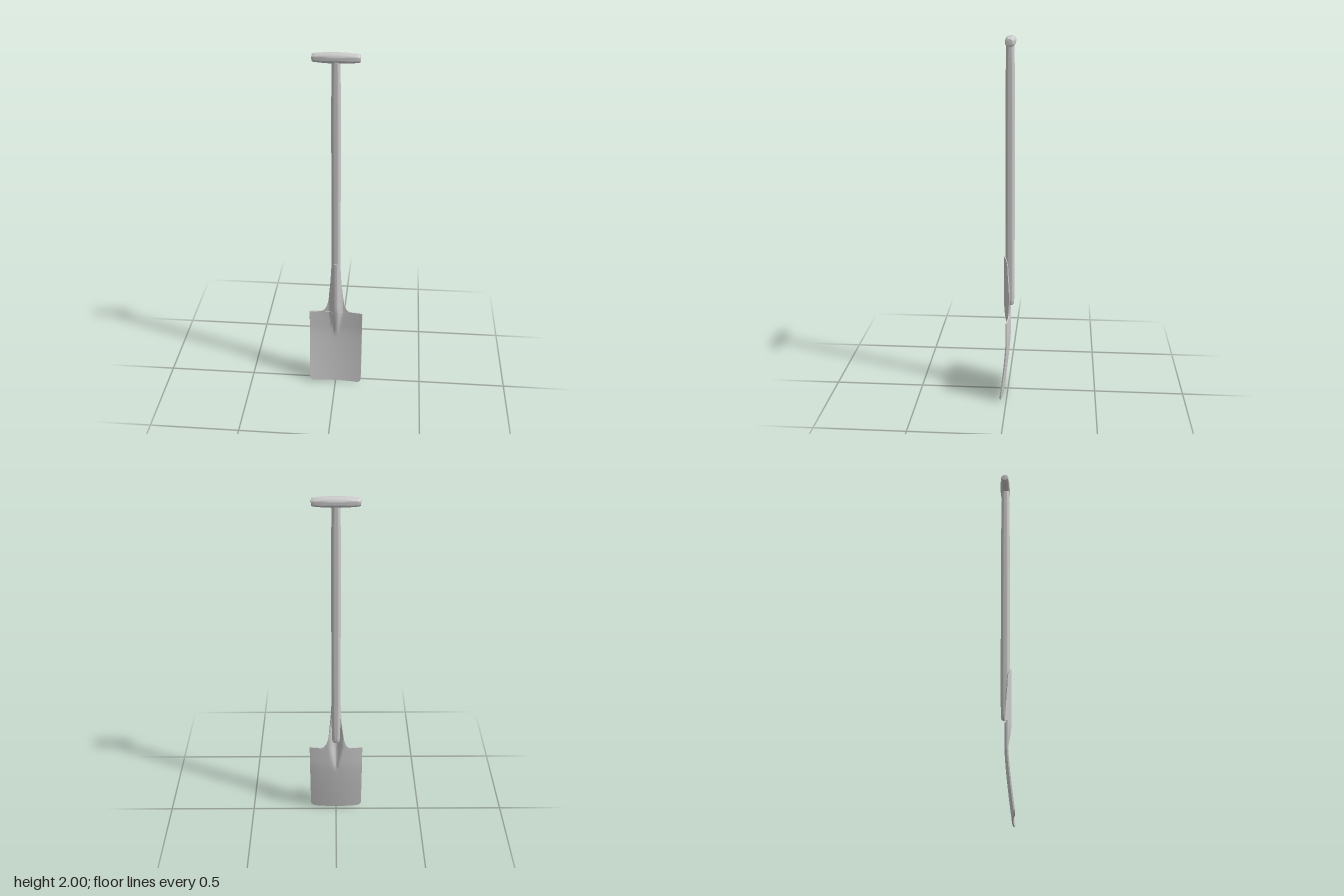
import * as THREE from 'three';
import { toCreasedNormals } from 'three/addons/utils/BufferGeometryUtils.js';

const AXIS_Z = -0.012; // shaft centre line
const material = new THREE.MeshStandardMaterial({ color: 0xcccccc });

function addMesh(group, name, geometry, crease = 0.7) {
  const mesh = new THREE.Mesh(toCreasedNormals(geometry, crease), material);
  mesh.name = name;
  group.add(mesh);
  return mesh;
}

function lathe(points, segments) {
  return new THREE.LatheGeometry(points.map(([r, y]) => new THREE.Vector2(r, y)), segments);
}

// Depth of the sheet: a dished blade that swells into a half socket round the shaft
function sheetZ(x, y) {
  const sweep = 0.037 * Math.pow(Math.max(0, 1 - y / 0.36), 1.3);
  const base = -0.012 + sweep + 0.012 * (x / 0.152) ** 2;
  const swell = THREE.MathUtils.smoothstep(y, 0.27, 0.53);
  const spread = 0.042 * THREE.MathUtils.clamp((y - 0.27) / 0.2, 0.2, 1);
  const ridge = Math.abs(x) < spread ? Math.cos((Math.PI * x) / (2 * spread)) ** 2 : 0;
  return base + 0.03 * swell * ridge;
}

// Half outline of blade, shoulder and socket, from the bottom upwards: x = half width
function sheetOutline() {
  const path = new THREE.Path();
  path.moveTo(0.125, 0.003);
  path.quadraticCurveTo(0.152, 0.005, 0.152, 0.035);
  for (let i = 1; i <= 24; i++) path.lineTo(0.152, 0.035 + (0.441 * i) / 24);
  path.lineTo(0.149, 0.478);
  path.lineTo(0.085, 0.479);
  path.bezierCurveTo(0.055, 0.481, 0.046, 0.53, 0.041, 0.575);
  path.bezierCurveTo(0.035, 0.63, 0.028, 0.68, 0.026, 0.73);
  path.bezierCurveTo(0.025, 0.775, 0.021, 0.808, 0.006, 0.811);
  return path.getPoints(12);
}

function sheetGeometry() {
  const rows = sheetOutline(), n = 40, half = 0.0035, e = 0.001;
  const positions = [], index = [], loop = 2 * (n + 1);

  // Each row is a closed loop: front left to right, then back right to left
  for (const { x: width, y } of rows) {
    for (let j = 0; j < loop; j++) {
      const front = j <= n;
      const u = (2 * (front ? j : loop - 1 - j)) / n - 1;
      const x = width * (0.5 * u + 0.5 * u ** 3);
      const normal = new THREE.Vector3(
        (sheetZ(x - e, y) - sheetZ(x + e, y)) / (2 * e),
        (sheetZ(x, y - e) - sheetZ(x, y + e)) / (2 * e), 1).normalize();
      const p = new THREE.Vector3(x, y, sheetZ(x, y)).addScaledVector(normal, front ? half : -half);
      positions.push(p.x, Math.max(0, p.y), p.z);
    }
  }
  const quad = (a, b, c, d) => index.push(a, b, c, a, c, d);
  for (let i = 0; i < rows.length - 1; i++) {
    for (let j = 0; j < loop; j++) {
      const k = (j + 1) % loop, a = i * loop, b = a + loop;
      quad(a + j, a + k, b + k, b + j);
    }
  }
  // Cutting edge and tip of the socket
  const top = (rows.length - 1) * loop;
  for (let j = 0; j < n; j++) {
    const back = loop - 1 - j;
    quad(j, back, back - 1, j + 1);
    quad(top + j, top + j + 1, top + back - 1, top + back);
  }
  const geometry = new THREE.BufferGeometry();
  geometry.setAttribute('position', new THREE.Float32BufferAttribute(positions, 3));
  geometry.setIndex(index);
  return geometry;
}

export function createModel() {
  const group = new THREE.Group();
  group.name = 'spade';

  // Blade and half socket, one pressed sheet
  addMesh(group, 'blade', sheetGeometry());

  // Round wooden shaft, slimmer towards the grip
  const shaft = addMesh(group, 'shaft', lathe([
    [0, 0.53], [0.018, 0.53], [0.021, 0.536], [0.023, 0.56], [0.0245, 0.65],
    [0.025, 0.8], [0.025, 1.6], [0.024, 1.8], [0.022, 1.9], [0.021, 1.975], [0, 1.975],
  ], 32));
  shaft.position.z = AXIS_Z;

  // Barrel-shaped cross grip
  const side = [[0.0275, 0], [0.027, 0.03], [0.0255, 0.065], [0.0225, 0.1], [0.021, 0.113],
    [0.0185, 0.119], [0.014, 0.12], [0, 0.12]];
  const profile = [...side.map(([r, y]) => [r, -y]).reverse(), ...side.slice(1)];
  const grip = addMesh(group, 'grip', lathe(profile, 32));
  grip.rotation.z = Math.PI / 2;
  grip.position.set(0, 1.9725, AXIS_Z - 0.002);

  return group;
}
